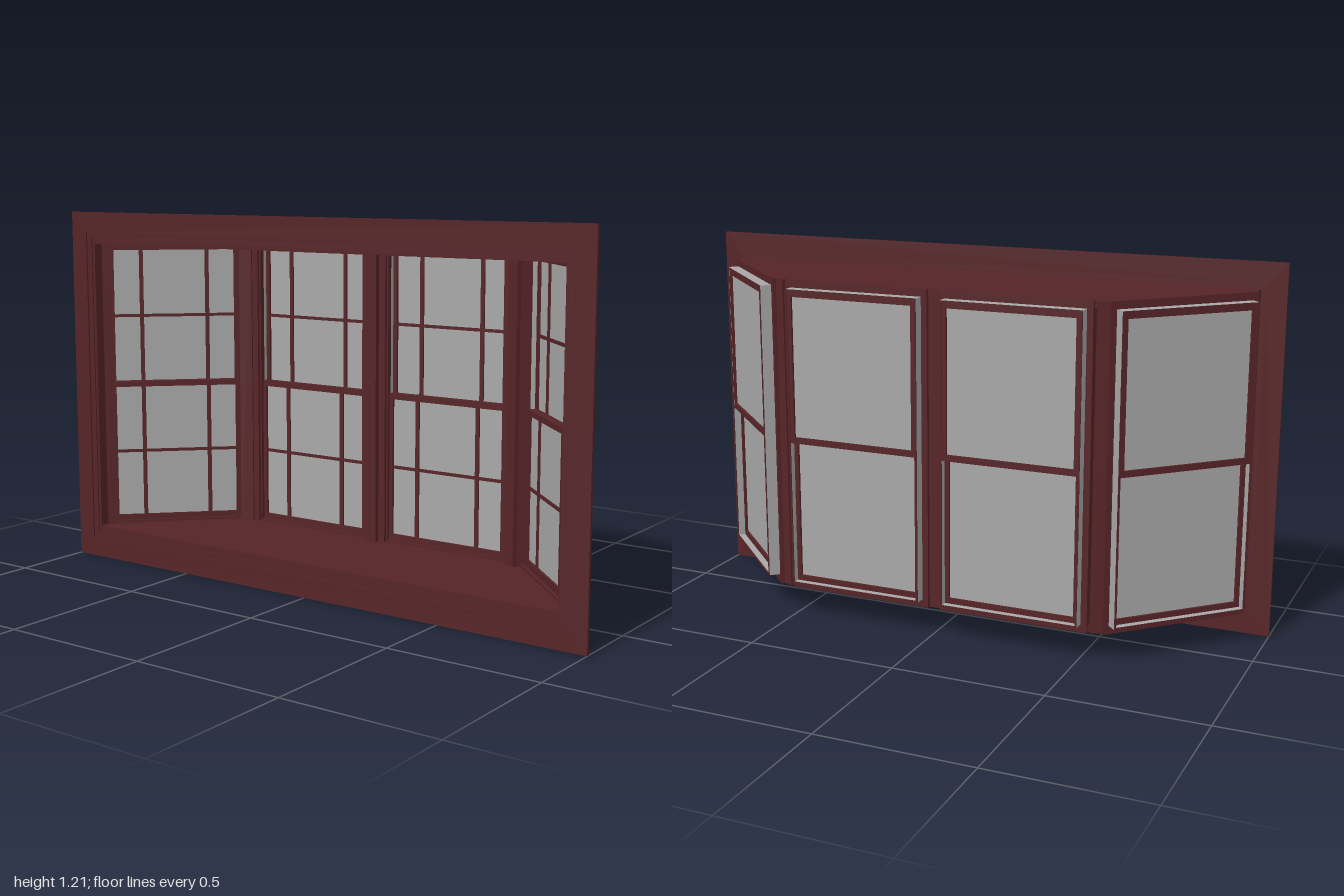
import * as THREE from 'three';

const red = new THREE.MeshStandardMaterial({ color: 0x562427 });
red.name = 'mahogany paint';
const grey = new THREE.MeshStandardMaterial({ color: 0xa8a8a8 });
grey.name = 'pale grey';

const BOTTOM = 0.085, TOP = 1.125;

function add(parent, name, geometry, material, x = 0, y = 0, z = 0) {
  const mesh = new THREE.Mesh(geometry, material);
  mesh.name = name;
  mesh.position.set(x, y, z);
  parent.add(mesh);
  return mesh;
}

function box(parent, name, material, w, h, d, x, y, z) {
  return add(parent, name, new THREE.BoxGeometry(w, h, d), material, x, y, z);
}

// Rectangle [halfWidth, bottom, top] as a closed list of points
const rect = ([w, b, t]) => [[-w, b], [w, b], [w, t], [-w, t]].map(p => new THREE.Vector2(...p));

// Rectangular frame with a rectangular opening, from z0 to z1
function ring(parent, name, material, outer, inner, z0, z1) {
  const shape = new THREE.Shape(rect(outer));
  shape.holes.push(new THREE.Path(rect(inner).reverse()));
  const geometry = new THREE.ExtrudeGeometry(shape, { depth: z1 - z0, bevelEnabled: false });
  return add(parent, name, geometry, material, 0, 0, z0);
}

// One sash: frame, pane and the glazing bars on the room side
function sash(parent, name, outer, inner, z) {
  const group = new THREE.Group();
  group.name = name;
  group.position.z = z;
  ring(group, 'sashFrame', red, outer, inner, -0.01, 0.01);
  const [w, b, t] = inner, mid = (b + t) / 2;
  box(group, 'pane', grey, 2 * w, t - b, 0.004, 0, mid, 0);
  for (const s of [-1, 1]) box(group, 'verticalBar', red, 0.014, t - b, 0.006, s * 0.115, mid, 0.004);
  box(group, 'horizontalBar', red, 2 * w, 0.01, 0.006, 0, mid, 0.0045);
  parent.add(group);
}

// Complete double-hung window; local +z faces the room
function windowUnit(name, x, z, angle) {
  const unit = new THREE.Group();
  unit.name = name;
  unit.position.set(x, 0, z);
  unit.rotation.y = angle;
  ring(unit, 'windowFrame', red, [0.25, BOTTOM, TOP], [0.224, 0.11, 1.1], 0, 0.035);
  ring(unit, 'frameStop', red, [0.235, 0.1, 1.11], [0.218, 0.118, 1.092], 0.015, 0.025);
  ring(unit, 'outerTrim', grey, [0.23, 0.112, 1.1], [0.225, 0.117, 1.095], -0.036, 0);
  ring(unit, 'trimEdge', red, [0.23, 0.112, 1.1], [0.224, 0.118, 1.094], -0.039, -0.036);
  sash(unit, 'upperSash', [0.225, 0.595, 1.095], [0.21, 0.615, 1.076], -0.025);
  sash(unit, 'lowerSash', [0.225, 0.112, 0.615], [0.21, 0.135, 0.596], -0.003);
  return unit;
}

// Horizontal bay board with its upper face at the given height
function bayBoard(parent, name, top) {
  const half = [[0.915, 0.222], [0.915, 0.186], [0.55, -0.179]];
  const points = [...half, ...half.map(([x, z]) => [-x, z]).reverse()];
  const shape = new THREE.Shape(points.map(p => new THREE.Vector2(...p)));
  const geometry = new THREE.ExtrudeGeometry(shape, { depth: 0.024, bevelEnabled: false });
  geometry.rotateX(Math.PI / 2);
  add(parent, name, geometry, red, 0, top, 0);
}

export function createModel() {
  const model = new THREE.Group();
  model.name = 'bayWindow';

  // Flat wall casing with a stepped inner edge
  ring(model, 'casing', red, [1, 0, 1.21], [0.935, 0.068, 1.142], 0.221, 0.232);
  ring(model, 'casingStep', red, [0.935, 0.068, 1.142], [0.914, 0.086, 1.124], 0.221, 0.227);

  // Head and seat boards
  bayBoard(model, 'headBoard', TOP);
  bayBoard(model, 'seatBoard', BOTTOM + 0.024);

  // Four windows: two at the back, one angled on each side
  const height = TOP - BOTTOM, mid = (TOP + BOTTOM) / 2;
  for (const s of [-1, 1]) {
    const side = s > 0 ? 'left' : 'right';
    model.add(windowUnit(side + 'BackWindow', s * 0.27, -0.192, 0));
    model.add(windowUnit(side + 'AngledWindow', s * 0.7475, -0.0075, -s * Math.PI / 4));
    const post = box(model, side + 'CornerPost', red, 0.045, height, 0.045, s * 0.543, mid, -0.16);
    post.rotation.y = -s * Math.PI / 8;
    box(model, side + 'Jamb', red, 0.014, height, 0.05, s * 0.911, mid, 0.198);
  }

  // Centre post between the back windows
  box(model, 'centrePost', red, 0.042, height, 0.04, 0, mid, -0.16);

  return model;
}
